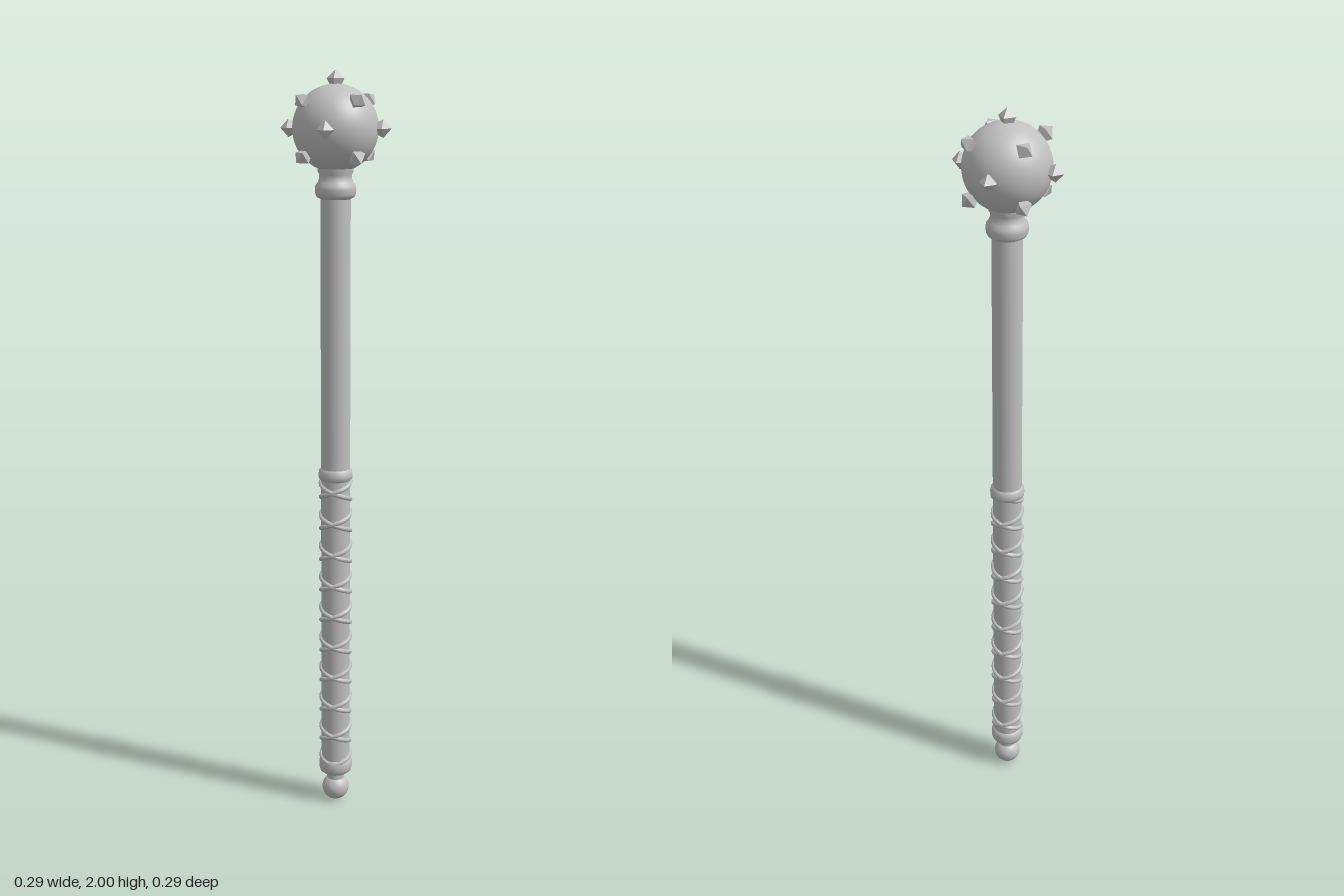
import * as THREE from 'three';

export function createModel() {
  const model = new THREE.Group();
  model.name = 'mace';
  const steel = new THREE.MeshStandardMaterial({ name: 'grey steel', color: 0xc0c0c0 });

  const add = (name, geometry, parent = model) => {
    const mesh = new THREE.Mesh(geometry, steel);
    mesh.name = name;
    parent.add(mesh);
    return mesh;
  };
  const lathe = (points, sides = 40) =>
    new THREE.LatheGeometry(points.map(([r, y]) => new THREE.Vector2(r, y)), sides);

  // Shaft, running through the grip
  add('shaft', lathe([[0, 0.09], [0.039, 0.09], [0.039, 1.7], [0, 1.7]]));

  // Collar and neck under the head
  add('collar', lathe([
    [0.039, 1.68], [0.048, 1.685], [0.052, 1.692], [0.053, 1.705], [0.052, 1.714],
    [0.046, 1.722], [0.042, 1.732], [0.042, 1.742], [0.046, 1.75], [0.046, 1.765],
  ]));

  // Spherical head
  const headY = 1.857;
  const headRadius = 0.11;
  add('head', new THREE.SphereGeometry(headRadius, 48, 32)).position.y = headY;

  // Faceted four-sided spikes: flared base and pyramid tip
  const spikeGeometry = lathe([[0.013, -0.006], [0.023, 0.014], [0, 0.035]], 4).toNonIndexed();
  spikeGeometry.computeVertexNormals();
  const spikes = new THREE.Group();
  spikes.name = 'spikes';
  spikes.position.y = headY;
  model.add(spikes);
  const directions = [[0, 1, 0], [1, 0, 0], [-1, 0, 0], [0, 0, 1], [0, 0, -1]];
  for (const x of [-1, 1]) for (const y of [-1, 1]) for (const z of [-1, 1]) directions.push([x, y, z]);
  const up = new THREE.Vector3(0, 1, 0);
  for (const d of directions) {
    const direction = new THREE.Vector3(...d).normalize();
    const spike = add('spike', spikeGeometry, spikes);
    spike.position.copy(direction).multiplyScalar(headRadius - 0.001);
    spike.quaternion.setFromUnitVectors(up, direction);
  }

  // Grip end bands
  add('gripTopBand', lathe([[0.039, 0.935], [0.045, 0.94], [0.046, 0.95], [0.044, 0.962], [0.039, 0.967]]));
  add('gripBottomBand', lathe([
    [0, 0.084], [0.036, 0.084], [0.043, 0.09], [0.046, 0.1], [0.046, 0.115], [0.043, 0.124], [0.039, 0.127],
  ]));

  // Criss-cross wrapping: two cords wound in opposite directions
  const bottom = 0.115, top = 0.95, turns = 9.5;
  for (const way of [1, -1]) {
    const points = [];
    const steps = Math.round(turns * 16);
    for (let i = 0; i <= steps; i++) {
      const t = i / steps;
      const angle = way * t * turns * Math.PI * 2;
      points.push(new THREE.Vector3(
        Math.sin(angle) * 0.039, bottom + (top - bottom) * t, Math.cos(angle) * 0.039));
    }
    add(way > 0 ? 'leftHandWrap' : 'rightHandWrap',
      new THREE.TubeGeometry(new THREE.CatmullRomCurve3(points), 360, 0.0065, 8));
  }

  // Pommel ball on a short neck
  add('pommelNeck', new THREE.CylinderGeometry(0.024, 0.024, 0.04, 24)).position.y = 0.075;
  add('pommel', new THREE.SphereGeometry(0.037, 32, 20)).position.y = 0.037;

  return model;
}
